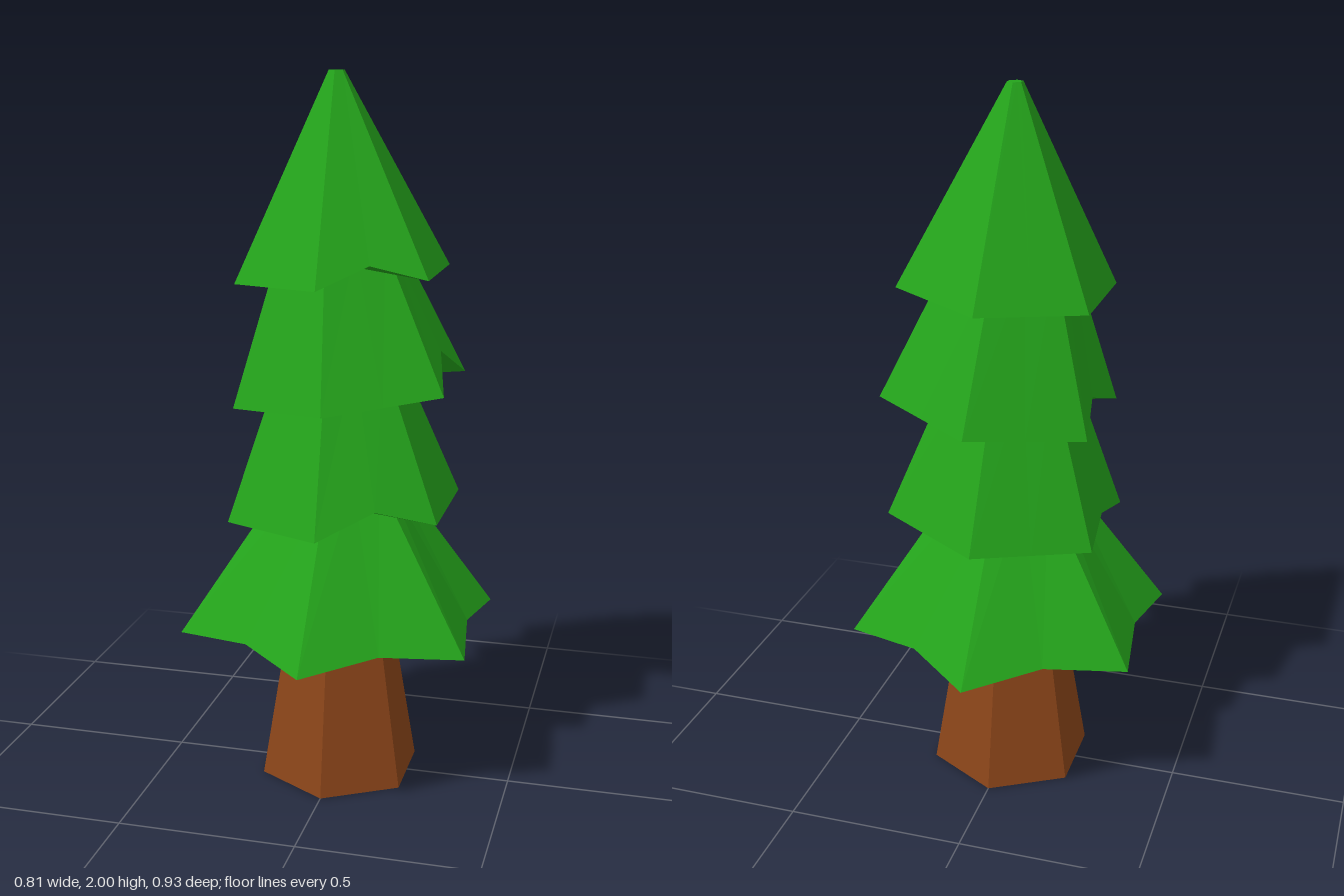
import * as THREE from 'three';

const leafMat = new THREE.MeshStandardMaterial({ color: 0x24a31b, flatShading: true });
const barkMat = new THREE.MeshStandardMaterial({ color: 0x8b4519, flatShading: true });

// Ring of 12 points: six corners (even) and the six edge middles between them (odd).
// tilt raises the ring towards +x; notches lists [edge, rise, pull towards the axis].
function ring({ r, y, cx = 0, cz = 0, tilt = 0, notches = [] }) {
  const pts = [];
  for (let i = 0; i < 12; i++) {
    const a = (i * Math.PI) / 6;
    const rad = i % 2 ? r * Math.cos(Math.PI / 6) : r;
    const x = rad * Math.sin(a);
    pts.push(new THREE.Vector3(cx + x, y + tilt * x, cz + rad * Math.cos(a)));
  }
  for (const [edge, rise, pull] of notches) {
    const p = pts[edge * 2 + 1];
    p.set(cx + (p.x - cx) * pull, p.y + rise, cz + (p.z - cz) * pull);
  }
  return pts;
}

// Skin the rings in order, from the underside out to the rim and up, then cap both ends.
function skin(rings) {
  const tris = [];
  const centre = (pts) => pts.reduce((s, p) => s.add(p), new THREE.Vector3()).divideScalar(12);
  const first = rings[0], last = rings[rings.length - 1];
  const low = centre(first), high = centre(last);
  for (let i = 0; i < 12; i++) {
    const j = (i + 1) % 12;
    for (let k = 0; k + 1 < rings.length; k++) {
      const l = rings[k], u = rings[k + 1];
      tris.push(l[i], l[j], u[j], l[i], u[j], u[i]);
    }
    tris.push(low, first[j], first[i], high, last[i], last[j]);
  }
  const geo = new THREE.BufferGeometry().setFromPoints(tris);
  geo.computeVertexNormals();
  return geo;
}

// Foliage tiers from bottom to top: drooping rim, hollow underside and upper end
const tiers = [
  { name: 'bottomFoliage', rim: { r: 0.465, y: 0.465, notches: [0, 1, 2, 3, 4, 5].map((e) => [e, 0.022, 0.92]) },
    top: { r: 0.15, y: 0.9 }, inner: 0.72 },
  { name: 'lowerFoliage', rim: { r: 0.34, y: 0.8, cx: 0.015, tilt: 0.065, notches: [[0, 0.055, 0.95], [4, 0.04, 0.95]] },
    top: { r: 0.16, y: 1.25 }, inner: 0.66 },
  { name: 'upperFoliage', rim: { r: 0.336, y: 1.137, cx: 0.03, cz: -0.006, tilt: 0.11, notches: [[1, 0.09, 0.86], [4, 0.06, 0.9]] },
    top: { r: 0.165, y: 1.55 }, inner: 0.64 },
  { name: 'topFoliage', rim: { r: 0.305, y: 1.46, cx: 0.01, tilt: 0.055, notches: [[0, 0.048, 0.9]] },
    top: { r: 0.022, y: 2, cx: -0.01 }, inner: 0.64 },
];

export function createModel() {
  const tree = new THREE.Group();
  tree.name = 'pineTree';

  // Tapered six-sided trunk with a narrower neck inside the foliage
  const addTrunk = (name, top, bottom, y0, y1) => {
    const mesh = new THREE.Mesh(new THREE.CylinderGeometry(top, bottom, y1 - y0, 6), barkMat);
    mesh.position.y = (y0 + y1) / 2;
    mesh.name = name;
    tree.add(mesh);
  };
  addTrunk('trunk', 0.148, 0.233, 0, 0.5);
  addTrunk('trunkNeck', 0.12, 0.135, 0.5, 0.62);

  for (const { name, rim, top, inner } of tiers) {
    const lip = { ...rim, r: rim.r * inner, y: rim.y + 0.035, notches: [] };
    const ceiling = { ...lip, r: lip.r * 0.93, y: lip.y + 0.07 };
    const mesh = new THREE.Mesh(skin([ceiling, lip, rim, top].map(ring)), leafMat);
    mesh.name = name;
    tree.add(mesh);
  }
  return tree;
}
